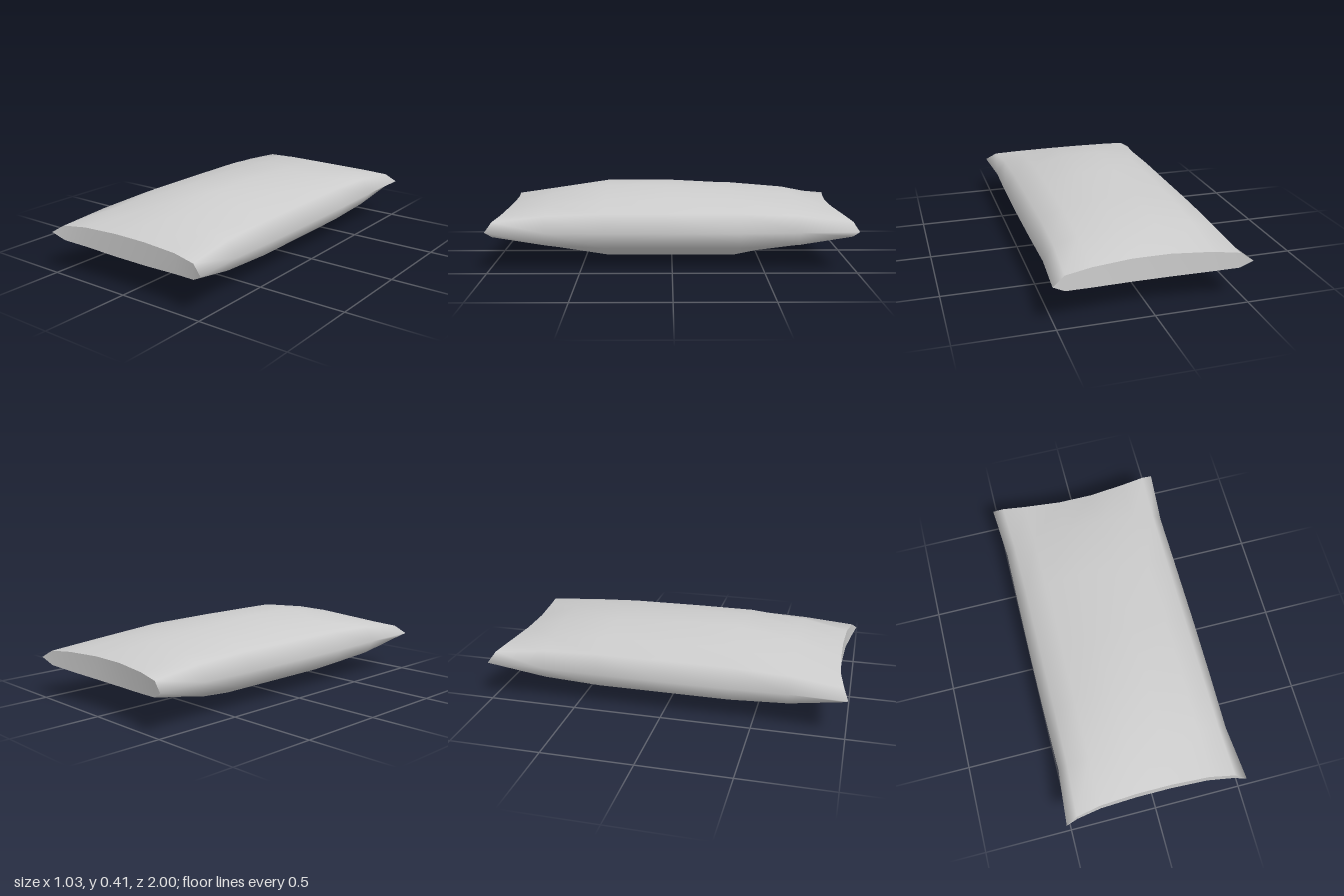
import * as THREE from 'three';

const N = 14; // points around each cross-section

// One cross-section: heights of top and bottom at x = inner, middle, outer column,
// plus the side seam and the z of each column.
function ring(z, top, bottom, edgeX, seamX, seamY, zs = [z, z, z, z]) {
  const xs = [0.1, 0.31, edgeX];
  const half = (ys, s) => [0, 1, 2].map(i => [s * xs[i], ys[i], zs[i]]);
  return [
    [seamX, seamY, zs[3]],
    ...half(top, 1).reverse(), ...half(top, -1),
    [-seamX, seamY, zs[3]],
    ...half(bottom, -1).reverse(), ...half(bottom, 1),
  ];
}

function makeMesh(name, points, index) {
  const geo = new THREE.BufferGeometry();
  geo.setAttribute('position', new THREE.Float32BufferAttribute(points.flat(), 3));
  geo.setIndex(index);
  geo.computeVertexNormals();
  const mesh = new THREE.Mesh(geo, new THREE.MeshStandardMaterial({ color: 0xcccccc }));
  mesh.name = name;
  return mesh;
}

// Flat end panel filling a ring, columns joined from top to bottom
function endPanel(name, points, front) {
  const index = [];
  const tri = (a, b, c) => index.push(...(front ? [a, b, c] : [a, c, b]));
  for (let k = 0; k < N / 2; k++) {
    const b = (N - k) % N, b1 = N - 1 - k;
    if (k < N / 2 - 1) tri(k, k + 1, b1);
    if (k > 0) tri(k, b1, b);
  }
  return makeMesh(name, points, index);
}

export function createModel() {
  const group = new THREE.Group();
  group.name = 'cushion';

  const endTop = [0.29, 0.284, 0.272], endBottom = [0.165, 0.176, 0.19];
  const nearTop = [0.365, 0.335, 0.3], nearBottom = [0.067, 0.108, 0.14];
  const midTop = [0.415, 0.366, 0.312], midBottom = [0, 0.067, 0.122];
  const rings = [
    ring(0, endTop, endBottom, 0.45, 0.515, 0.23, [0.937, 0.948, 0.973, 1]),
    ring(0.69, nearTop, nearBottom, 0.435, 0.49, 0.22),
    ring(0.37, midTop, midBottom, 0.432, 0.495, 0.217),
    ring(0.03, midTop, midBottom, 0.432, 0.497, 0.217),
    ring(-0.37, [0.394, 0.362, 0.312], midBottom, 0.432, 0.495, 0.217),
    ring(-0.69, nearTop, nearBottom, 0.435, 0.492, 0.22),
    ring(0, endTop, endBottom, 0.45, 0.515, 0.23, [-0.927, -0.952, -0.978, -1]),
  ];

  // Padded body: top, bottom and rounded long sides in one smooth skin
  const index = [];
  for (let i = 0; i < rings.length - 1; i++) {
    for (let j = 0; j < N; j++) {
      const a = i * N + j, b = i * N + (j + 1) % N;
      index.push(a, a + N, b, b, a + N, b + N);
    }
  }
  group.add(makeMesh('paddedBody', rings.flat(), index));

  // Narrow panels closing both ends
  group.add(endPanel('frontPanel', rings[0], true));
  group.add(endPanel('backPanel', rings[rings.length - 1], false));
  return group;
}
